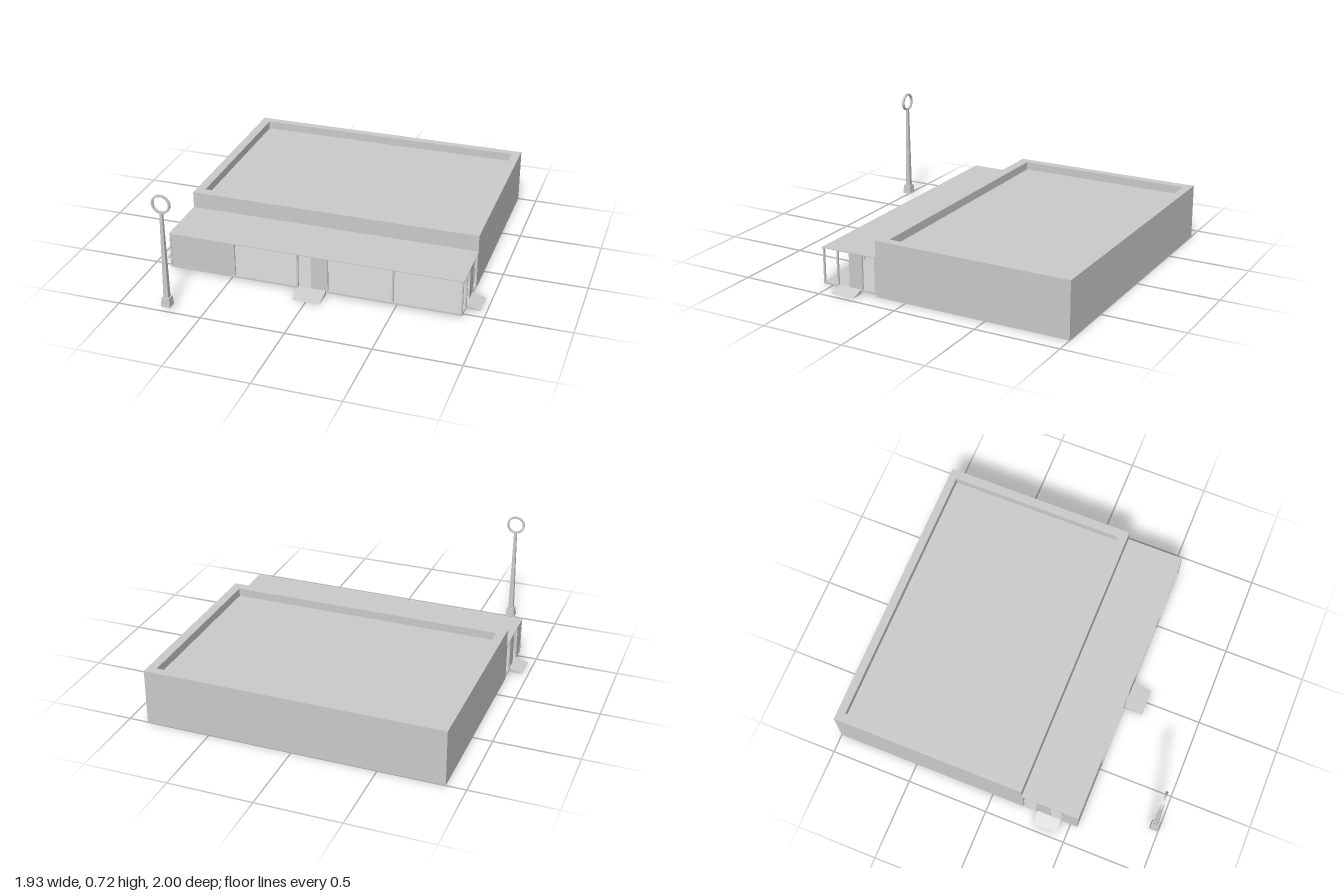
import * as THREE from 'three';

export function createModel() {
  const model = new THREE.Group();
  const mat = new THREE.MeshStandardMaterial({ color: 0xcccccc, flatShading: true, side: THREE.DoubleSide });

  const add = (name, geo, parent = model) => {
    const mesh = new THREE.Mesh(geo, mat);
    mesh.name = name;
    parent.add(mesh);
    return mesh;
  };
  // Box given by its limits on each axis
  const box = (name, [x0, x1], [y0, y1], [z0, z1], parent) => {
    const mesh = add(name, new THREE.BoxGeometry(x1 - x0, y1 - y0, z1 - z0), parent);
    mesh.position.set((x0 + x1) / 2, (y0 + y1) / 2, (z0 + z1) / 2);
    return mesh;
  };
  const rect = (Type, x0, x1, y0, y1) => {
    const r = new Type();
    r.moveTo(x0, y0); r.lineTo(x1, y0); r.lineTo(x1, y1); r.lineTo(x0, y1); r.closePath();
    return r;
  };

  // Main hall: thin walls open at the bottom, floor, roof deck and parapet
  const W = 0.885, T = 0.012, BACK = -1, FRONT = 0.19, SPLIT = 0.28, TOP = 0.335;
  const hall = new THREE.Group();
  hall.name = 'hall';
  model.add(hall);
  box('backWall', [-W, W], [0, SPLIT], [BACK, BACK + T], hall);
  for (const s of [-1, 1]) {
    const side = box('sideWall', [W - T, W], [0, SPLIT], [BACK + T, FRONT - T], hall);
    side.position.x *= s;
  }
  const frontShape = rect(THREE.Shape, -W, W, 0, SPLIT);
  frontShape.holes.push(rect(THREE.Path, -0.085, 0.085, 0.001, 0.222));
  add('frontWall', new THREE.ExtrudeGeometry(frontShape, { depth: T, bevelEnabled: false }), hall).position.z = FRONT - T;

  const ring = rect(THREE.Shape, -W, W, -FRONT, -BACK);
  ring.holes.push(rect(THREE.Path, -0.83, 0.83, -0.13, 0.95));
  const parapet = add('parapet', new THREE.ExtrudeGeometry(ring, { depth: TOP - SPLIT, bevelEnabled: false }), hall);
  parapet.rotation.x = -Math.PI / 2;
  parapet.position.y = SPLIT;
  box('roofDeck', [-0.83, 0.83], [0.27, 0.285], [-0.95, 0.13], hall);
  box('hallFloor', [-W + T, W - T], [0.014, 0.024], [BACK + T, FRONT - T], hall);
  box('doorRail', [-0.17, 0.17], [0.221, 0.229], [FRONT, FRONT + 0.01], hall);

  // Porch: floor slab, canopy, posts, solid panels and half-open doors
  const porch = new THREE.Group();
  porch.name = 'porch';
  model.add(porch);
  const PF = 0.545, Y = [0.024, 0.229];
  box('porchFloor', [-W, W], [0.012, 0.024], [FRONT, PF], porch);
  box('canopy', [-W - 0.002, W + 0.002], [0.229, 0.235], [FRONT, PF + 0.002], porch);
  for (const x of [-0.88, -0.48, -0.09, 0.09, 0.48, 0.88])
    box('frontPost', [x - 0.005, x + 0.005], Y, [PF - 0.01, PF], porch);
  for (const s of [-1, 1])
    for (const z of [0.447, 0.285, 0.195])
      box('endPost', [s * 0.88 - 0.005, s * 0.88 + 0.005], Y, [z - 0.005, z + 0.005], porch);
  box('frontPanel', [-0.875, -0.485], Y, [PF - 0.007, PF - 0.002], porch);
  box('endPanel', [-0.883, -0.878], Y, [0.452, PF - 0.01], porch);
  box('frontDoor', [-0.008, 0.085], Y, [PF - 0.008, PF - 0.003], porch);
  for (const s of [-1, 1])
    box('endDoor', [s * 0.88 - 0.0025, s * 0.88 + 0.0025], Y, [0.29, 0.37], porch);

  // Entrance ramps: a wedge profile swept across the width
  const ramp = (width, length, x, z, turn) => {
    const wedge = new THREE.Shape([
      new THREE.Vector2(0, 0), new THREE.Vector2(length, 0), new THREE.Vector2(0, 0.024)]);
    const geo = new THREE.ExtrudeGeometry(wedge, { depth: width, bevelEnabled: false });
    geo.translate(0, 0, -width / 2);
    const mesh = add('ramp', geo);
    mesh.rotation.y = turn;
    mesh.position.set(x, 0, z);
  };
  ramp(0.166, 0.113, 0, PF, -Math.PI / 2);
  ramp(0.15, 0.08, W, 0.365, 0);
  ramp(0.15, 0.08, -W, 0.365, Math.PI);

  // Roadside sign: square base, tapered square post, open ring
  const sign = new THREE.Group();
  sign.name = 'roadSign';
  sign.position.set(-0.71, 0, 0.972);
  model.add(sign);
  const squareTaper = (name, top, bottom, y0, y1) => {
    const geo = new THREE.CylinderGeometry(top * Math.SQRT2, bottom * Math.SQRT2, y1 - y0, 4);
    geo.rotateY(Math.PI / 4);
    add(name, geo, sign).position.y = (y0 + y1) / 2;
  };
  squareTaper('signBase', 0.023, 0.028, 0.028, 0.083);
  squareTaper('signPost', 0.008, 0.015, 0.083, 0.61);
  const disc = new THREE.Shape().absarc(0, 0, 0.056, 0, Math.PI * 2);
  disc.holes.push(new THREE.Path().absarc(0, 0, 0.045, 0, Math.PI * 2, true));
  add('signRing', new THREE.ExtrudeGeometry(disc, { depth: 0.014, bevelEnabled: false, curveSegments: 20 }), sign)
    .position.set(0, 0.663, -0.007);

  return model;
}
